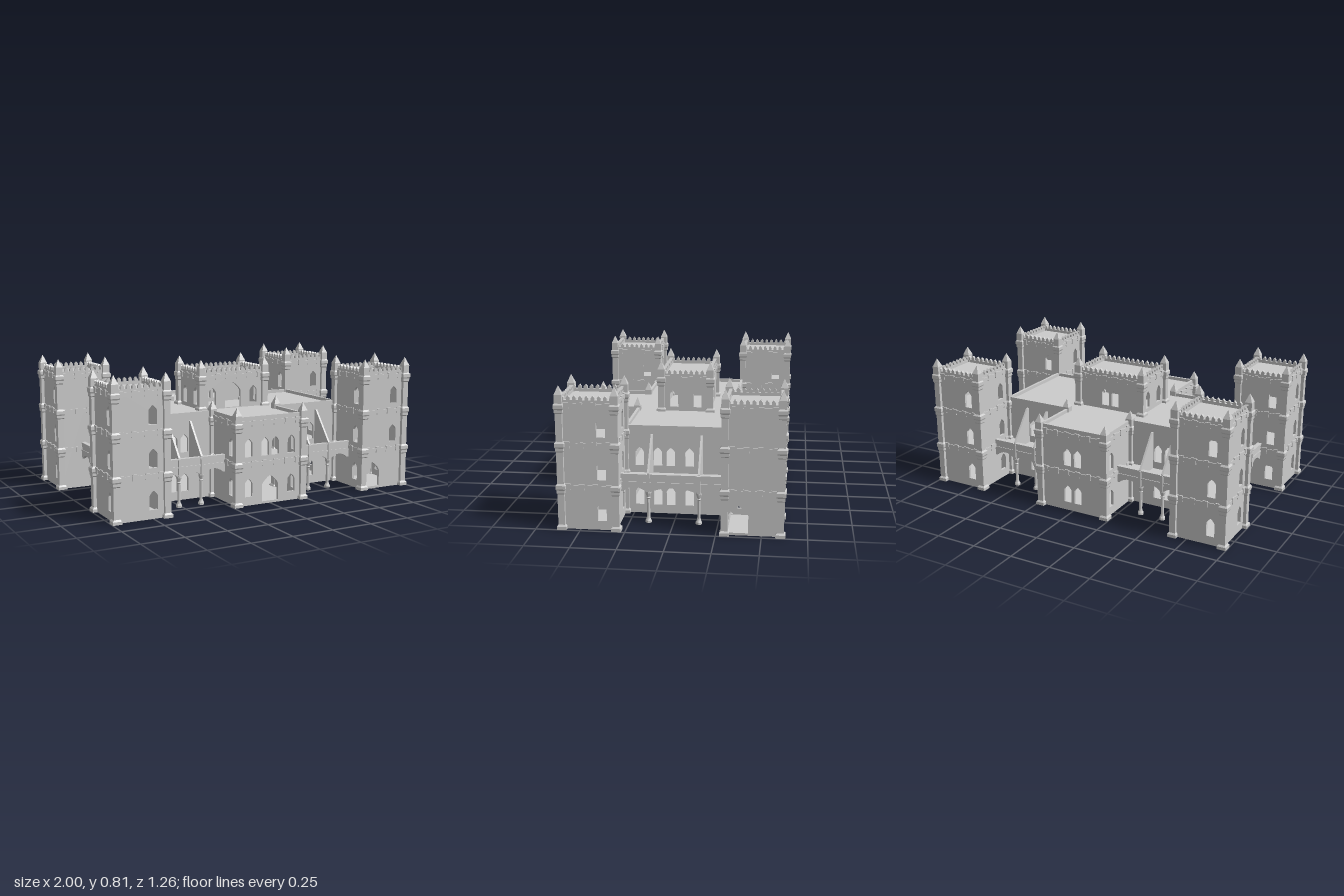
import * as THREE from 'three';

const mat = new THREE.MeshStandardMaterial({ color: 0xcccccc, flatShading: true, side: THREE.DoubleSide });
const T = 0.016;                       // wall thickness
const SILLS = [0.052, 0.288, 0.53];    // window sill of each storey
const TX = 0.8205, TZ = 0.4505, TH = 0.1525; // tower centre and half width
const WX = 0.222, HX = 0.668, HZ = 0.298, WZ = 0.603; // wing and hall outlines

function add(parent, name, geo, x = 0, y = 0, z = 0) {
  const m = new THREE.Mesh(geo, mat);
  m.name = name;
  m.position.set(x, y, z);
  parent.add(m);
  return m;
}

function slab(parent, name, w, d, y, x = 0, z = 0, h = 0.014) {
  return add(parent, name, new THREE.BoxGeometry(w, h, d), x, y - h / 2, z);
}

// Pointed opening: shoulders curve up to the peak
function opening(x, y, w, h, shoulder) {
  const p = new THREE.Path();
  p.moveTo(x - w / 2, y);
  p.lineTo(x + w / 2, y);
  p.lineTo(x + w / 2, y + shoulder);
  p.quadraticCurveTo(x + w * 0.36, y + shoulder + (h - shoulder) * 0.55, x, y + h);
  p.quadraticCurveTo(x - w * 0.36, y + shoulder + (h - shoulder) * 0.55, x - w / 2, y + shoulder);
  return p;
}
const win = (x, floor) => opening(x, SILLS[floor], 0.05, 0.108, 0.08);
const door = (x, y = 0.014) => opening(x, y, 0.11, 0.155, 0.1);
const wins = (xs, floors) => floors.flatMap(f => xs.map(x => win(x, f)));

// Wall facing +z before turning, with openings and an optional row of pointed merlons
function wall(parent, name, len, y0, y1, x, z, angle, holes = [], merlons = false, bands = []) {
  const g = new THREE.Group();
  g.name = name;
  g.position.set(x, 0, z);
  g.rotation.y = angle;
  parent.add(g);
  const s = new THREE.Shape();
  s.moveTo(-len / 2, y0);
  s.lineTo(len / 2, y0);
  s.lineTo(len / 2, y1);
  if (merlons) {
    const n = Math.round(len / 0.034), step = len / n;
    for (let i = n - 1; i >= 0; i--) {
      const c = -len / 2 + (i + 0.5) * step;
      s.lineTo(c + 0.01, y1);
      s.lineTo(c + 0.01, y1 + 0.013);
      s.lineTo(c, y1 + 0.025);
      s.lineTo(c - 0.01, y1 + 0.013);
      s.lineTo(c - 0.01, y1);
    }
  }
  s.lineTo(-len / 2, y1);
  s.holes.push(...holes);
  const geo = new THREE.ExtrudeGeometry(s, { depth: T, bevelEnabled: false, curveSegments: 4 });
  add(g, 'wallPanel', geo, 0, 0, -T);
  // String courses with raised blocks
  for (const y of bands) {
    add(g, 'stringCourse', new THREE.BoxGeometry(len, 0.022, 0.008), 0, y, 0.002);
    const n = Math.max(2, Math.round(len / 0.08));
    for (let i = 0; i < n; i++)
      add(g, 'courseBlock', new THREE.BoxGeometry(0.03, 0.036, 0.01), -len / 2 + (i + 0.5) * len / n, y, 0.003);
  }
  return g;
}

// Square corner pier with collars at the storeys and a pyramid cap
function pier(parent, x, z, y0, top, collars) {
  const r = 0.019, b = 0.027;
  const pts = [[0, y0], [b, y0], [b, y0 + 0.018], [r, y0 + 0.028]];
  for (const c of collars) pts.push([r, c - 0.03], [0.023, c - 0.024], [0.023, c - 0.008], [b, c], [b, c + 0.02], [r, c + 0.03]);
  pts.push([0.021, top - 0.1], [0.021, top - 0.05], [0, top]);
  const geo = new THREE.LatheGeometry(pts.map(([a, y]) => new THREE.Vector2(a * Math.SQRT2, y)), 4, Math.PI / 4);
  add(parent, 'cornerPier', geo, x, 0, z);
}

function tower(sx, sz) {
  const g = new THREE.Group();
  g.name = 'cornerTower';
  g.position.set(sx * TX, 0, sz * TZ);
  for (let i = 0; i < 4; i++) {
    const a = i * Math.PI / 2;
    let holes = wins([0.073], [0, 1, 2]);
    if (sx > 0 && sz > 0 && i === 0) holes = [door(-0.078), ...wins([0.073], [1, 2])];
    if (sx > 0 && sz < 0 && i === 1) holes = [door(-0.078)];
    wall(g, 'towerWall', 2 * TH, 0, 0.735, Math.sin(a) * TH, Math.cos(a) * TH, a, holes, true, [0.245, 0.485, 0.705]);
  }
  for (const x of [-TH, TH]) for (const z of [-TH, TH]) pier(g, x, z, 0, 0.815, [0.235, 0.475, 0.69]);
  const w = 2 * TH - T;
  for (const y of [0.014, 0.255, 0.5, 0.718]) slab(g, y > 0.7 ? 'towerRoof' : 'towerFloor', w, w, y);
  return g;
}

// Lean-to gallery: arcade, deck, parapet and sloping fins; the house wall is at local z = 0
function gallery(len, depth, cols, x, z, angle) {
  const g = new THREE.Group();
  g.name = 'gallery';
  g.position.set(x, 0, z);
  g.rotation.y = angle;
  const s = new THREE.Shape();
  const stops = [-len / 2, ...cols, len / 2];
  s.moveTo(len / 2, 0.285);
  s.lineTo(-len / 2, 0.285);
  for (let i = 0; i < stops.length - 1; i++) {
    const a = stops[i] + 0.012, b = stops[i + 1] - 0.012;
    s.lineTo(stops[i], 0.183);
    s.lineTo(a, 0.183);
    s.quadraticCurveTo((a + b) / 2, 0.237, b, 0.183);
  }
  s.lineTo(len / 2, 0.183);
  add(g, 'arcade', new THREE.ExtrudeGeometry(s, { depth: 0.02, bevelEnabled: false, curveSegments: 8 }), 0, 0, depth - 0.02);
  slab(g, 'galleryDeck', len, depth - 0.01, 0.245, 0, depth / 2 - 0.005, 0.018);
  add(g, 'cornice', new THREE.BoxGeometry(len, 0.011, 0.008), 0, 0.235, depth + 0.001);
  add(g, 'coping', new THREE.BoxGeometry(len, 0.008, 0.028), 0, 0.282, depth - 0.01);
  const colPts = [[0, 0], [0.018, 0], [0.018, 0.012], [0.012, 0.024], [0.0095, 0.035], [0.0095, 0.14],
    [0.013, 0.146], [0.0095, 0.152], [0.017, 0.175], [0.017, 0.19], [0, 0.19]].map(p => new THREE.Vector2(...p));
  const fin = new THREE.Shape([[0, 0.24], [depth, 0.24], [depth, 0.29], [0.012, 0.475], [0, 0.475]].map(p => new THREE.Vector2(...p)));
  for (const c of cols) {
    add(g, 'column', new THREE.LatheGeometry(colPts, 8), c, 0, depth - 0.012);
    const f = add(g, 'buttressFin', new THREE.ExtrudeGeometry(fin, { depth: 0.012, bevelEnabled: false }), c - 0.006, 0, 0);
    f.rotation.y = -Math.PI / 2;
    f.position.x = c + 0.006;
    add(g, 'finPier', new THREE.BoxGeometry(0.018, 0.1, 0.012), c, 0.235, depth + 0.003);
  }
  return g;
}

export function createModel() {
  const root = new THREE.Group();
  root.name = 'castle';
  const Q = Math.PI / 2;

  for (const sx of [-1, 1]) for (const sz of [-1, 1]) root.add(tower(sx, sz));

  // Hall, wings, floors and roof form one cross-shaped shell
  const hall = new THREE.Group();
  hall.name = 'hall';
  root.add(hall);
  const top = 0.525, midX = (WX + HX) / 2, wingMid = (HZ + WZ) / 2, wingLen = WZ - HZ;
  for (const sz of [1, -1]) {
    const a = sz > 0 ? 0 : Math.PI;
    for (const sx of [1, -1]) {
      wall(hall, 'hallWall', HX - WX, 0, top, sx * midX, sz * HZ, a, wins([-0.035, 0.035], [0, 1]));
      wall(hall, 'wingSideWall', wingLen, 0, top, sx * WX, sz * wingMid, sx * Q,
        wins([-sx * sz * 0.08], [0, 1]), false, [0.245, 0.485]);
      pier(hall, sx * WX, sz * WZ, 0, 0.585, [0.235, 0.465]);
      pier(hall, sx * WX, sz * HZ, 0, 0.585, [0.235, 0.465]);
      root.add(gallery(HX - WX, 0.157, [-0.072, 0.072], sx * midX, sz * HZ, a));
    }
    const holes = sz > 0
      ? [door(0), ...wins([-0.145, 0.145], [0]), ...wins([-0.145, -0.035, 0.035, 0.145], [1])]
      : wins([-0.035, 0.035], [0, 1]);
    wall(hall, 'wingEndWall', 2 * WX, 0, top, 0, sz * WZ, a, holes, false, [0.245, 0.485]);
  }
  wall(hall, 'hallEndWall', 2 * HZ, 0, top, HX, 0, Q, wins([-0.215, -0.11, -0.035, 0.073], [0, 1]));
  wall(hall, 'hallEndWall', 2 * HZ, 0, top, -HX, 0, -Q, [...wins([0.11, 0.035, -0.073, -0.215], [0]), ...wins([0.11, -0.11], [1])]);
  for (const sx of [1, -1]) root.add(gallery(2 * HZ, 0.165, [-0.143, 0.143], sx * HX, 0, sx * Q));
  for (const y of [0.014, 0.255, 0.505]) {
    const name = y > 0.5 ? 'hallRoof' : 'hallFloor';
    slab(hall, name, 2 * HX - T, 2 * HZ - T, y);
    for (const sz of [1, -1]) slab(hall, name, 2 * WX - T, wingLen, y, 0, sz * (wingMid - T / 2));
  }

  // Inner stair
  const steps = 14;
  for (let i = 0; i < steps; i++) {
    const h = (i + 1) * 0.24 / steps;
    add(hall, 'stairStep', new THREE.BoxGeometry(0.058, h, 0.015), -0.03, h / 2, 0.09 - i * 0.015);
  }

  // Upper keep on the roof
  const keep = new THREE.Group();
  keep.name = 'upperKeep';
  root.add(keep);
  const KZ = 0.15, kTop = 0.735;
  wall(keep, 'keepFront', 2 * WX, 0.5, kTop, 0, KZ, 0, [door(0, 0.51), ...wins([-0.145, 0.145], [2])], true, [0.705]);
  wall(keep, 'keepBack', 2 * WX, 0.5, kTop, 0, -KZ, Math.PI, wins([-0.035, 0.035], [2]), true, [0.705]);
  for (const s of [1, -1]) {
    wall(keep, 'keepSide', 2 * KZ, 0.5, kTop, s * WX, 0, s * Q, wins([-0.072, 0.072], [2]), true, [0.705]);
    for (const sz of [1, -1]) pier(keep, s * WX, sz * KZ, 0.5, 0.815, [0.69]);
  }
  slab(keep, 'keepRoof', 2 * WX - T, 2 * KZ - T, 0.718);

  return root;
}
